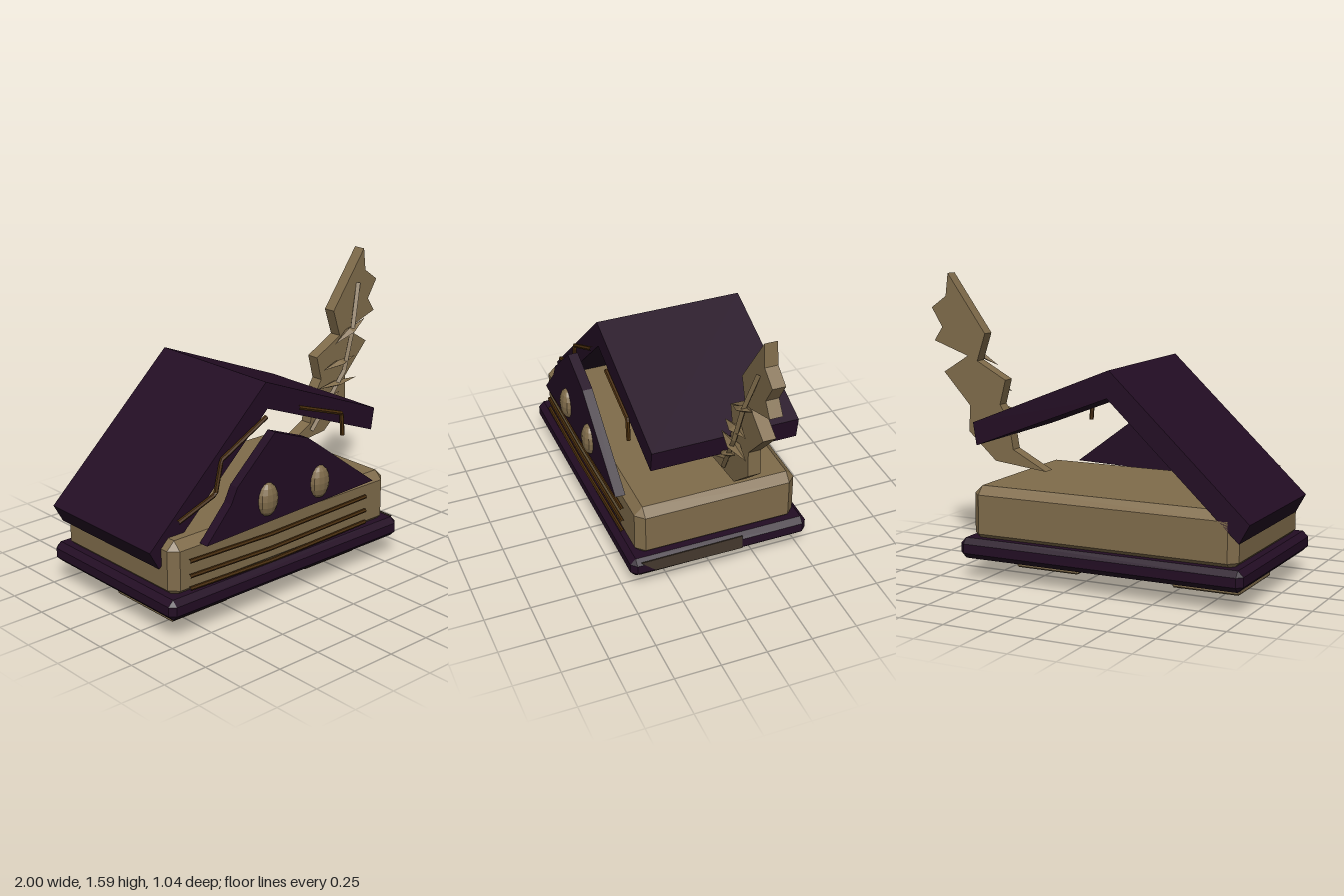
import * as THREE from 'three';
import { ConvexGeometry } from 'three/addons/geometries/ConvexGeometry.js';

const make = (name, hex) => {
  const m = new THREE.MeshStandardMaterial({ color: hex, flatShading: true });
  m.name = name;
  return m;
};

export function createModel() {
  const purple = make('darkPurple', 0x230d24);
  const tan = make('tan', 0x806c4b);
  const brown = make('darkBrown', 0x4a2e0c);
  const stain = make('stain', 0x45392e);
  const group = new THREE.Group();

  const add = (name, geo, mat, parent = group) => {
    const mesh = new THREE.Mesh(geo, mat);
    mesh.name = name;
    parent.add(mesh);
    return mesh;
  };

  // Box with every edge chamfered by c, given by its bounds
  const chamferBox = ([x0, x1], [y0, y1], [z0, z1], c) => {
    const pts = [];
    for (const sx of [0, 1]) for (const sy of [0, 1]) for (const sz of [0, 1]) {
      const p = [sx ? x1 : x0, sy ? y1 : y0, sz ? z1 : z0];
      const inner = [sx ? x1 - c : x0 + c, sy ? y1 - c : y0 + c, sz ? z1 - c : z0 + c];
      for (let i = 0; i < 3; i++) {
        const q = [...inner];
        q[i] = p[i];
        pts.push(new THREE.Vector3(...q));
      }
    }
    return new ConvexGeometry(pts);
  };

  // Flat outline given thickness along z
  const slab = (outline, z0, z1) => {
    const shape = new THREE.Shape(outline.map(([x, y]) => new THREE.Vector2(x, y)));
    const geo = new THREE.ExtrudeGeometry(shape, { depth: z1 - z0, bevelEnabled: false });
    return geo.translate(0, 0, z0);
  };

  // Bent rod through straight segments
  const rod = (points, r, sides = 6) => {
    const path = new THREE.CurvePath();
    const v = points.map((p) => new THREE.Vector3(...p));
    for (let i = 1; i < v.length; i++) path.add(new THREE.LineCurve3(v[i - 1], v[i]));
    return new THREE.TubeGeometry(path, 32, r, sides, false);
  };

  // Base and body
  add('basePlate', chamferBox([-0.98, 0.62], [0.115, 0.225], [-0.52, 0.48], 0.03), purple);
  add('body', chamferBox([-0.93, 0.57], [0.2, 0.5], [-0.47, 0.43], 0.045), tan);

  // Stained patch on the underside and the end of the base
  const under = slab([[0.59, -0.14], [0.27, -0.28], [-0.38, 0.15], [-0.33, 0.36], [0.1, 0.44], [0.59, 0.43]], 0, 0.006);
  add('undersideStain', under.rotateX(Math.PI / 2).translate(0, 0.117, 0), stain);
  const end = slab([[-0.43, 0.215], [-0.35, 0.145], [0.14, 0.14], [0.14, 0.22]], 0, 0.006);
  add('endStain', end.rotateY(Math.PI / 2).translate(0.617, 0, 0), stain);

  // Two feet, each a stack of three slabs
  for (const cx of [-0.642, 0.285]) {
    const foot = new THREE.Group();
    foot.name = 'foot';
    group.add(foot);
    for (let i = 0; i < 3; i++) {
      const w = 0.188 + i * 0.01;
      const y = i * 0.043;
      add('footSlab', chamferBox([cx - w, cx + w], [y, y + 0.033], [-0.163, 0.288], 0.008), tan, foot);
    }
  }

  // Roof: bent sheet open at front and back
  add('roof', slab([
    [-1, 0.45], [-0.945, 0.35], [-0.23, 1.015], [0.53, 0.72], [0.55, 0.84], [-0.24, 1.158],
  ], -0.47, 0.34), purple);

  // Front gable panel
  add('gablePanel', slab([
    [-0.76, 0.465], [0.4, 0.5], [-0.08, 0.86], [-0.31, 0.948], [-0.56, 0.72], [-0.6, 0.64],
  ], 0.43, 0.485), purple);

  // Eyes
  for (const x of [-0.36, 0]) {
    const eye = new THREE.SphereGeometry(1, 12, 8);
    add('eye', eye.scale(0.063, 0.09, 0.04).translate(x, 0.603, 0.485), tan);
  }

  // Sagging rods across the front
  for (const y of [0.395, 0.315, 0.248]) {
    add('frontRod', rod([[-0.84, y, 0.445], [-0.3, y - 0.013, 0.445], [0.39, y + 0.003, 0.445]], 0.011), brown);
  }

  // Bent rods under the roof edge
  add('leftTrim', rod([[-0.84, 0.575, 0.365], [-0.6, 0.66, 0.365], [-0.56, 0.83, 0.365], [-0.26, 0.985, 0.365]], 0.012), brown);
  add('rightTrim', rod([[-0.04, 0.985, 0.365], [0.275, 0.88, 0.365], [0.285, 0.755, 0.365]], 0.012), brown);

  // Jagged tail
  const tail = new THREE.Group();
  tail.name = 'tail';
  group.add(tail);
  add('tailBlade', slab([
    [0.29, 0.545], [0.6, 0.58], [0.765, 0.73], [0.76, 0.875], [0.92, 1.05], [0.77, 1.145],
    [0.98, 1.22], [0.93, 1.295], [0.995, 1.4], [0.905, 1.465], [0.89, 1.59], [0.66, 1.27],
    [0.71, 1.12], [0.535, 1.025], [0.57, 0.89], [0.515, 0.8], [0.49, 0.65],
  ], -0.16, -0.09), tan, tail);
  add('tailSpine', rod([
    [0.49, 0.61, -0.08], [0.59, 0.76, -0.06], [0.7, 0.93, -0.04], [0.77, 1.15, -0.05], [0.85, 1.4, -0.09],
  ], 0.016, 4), tan, tail);

  // Thin barbs crossing the spine, pointed at both ends
  const barbs = [[0.5, 0.72, 0.68, 0.81], [0.51, 0.855, 0.81, 0.865], [0.55, 0.955, 0.8, 0.995], [0.64, 1.09, 0.87, 1.2]];
  for (const [x0, y0, x1, y1] of barbs) {
    const barb = new THREE.OctahedronGeometry(1);
    barb.scale(Math.hypot(x1 - x0, y1 - y0) / 2, 0.018, 0.035);
    barb.rotateZ(Math.atan2(y1 - y0, x1 - x0));
    add('tailBarb', barb.translate((x0 + x1) / 2, (y0 + y1) / 2, -0.055), tan, tail);
  }

  return group;
}
